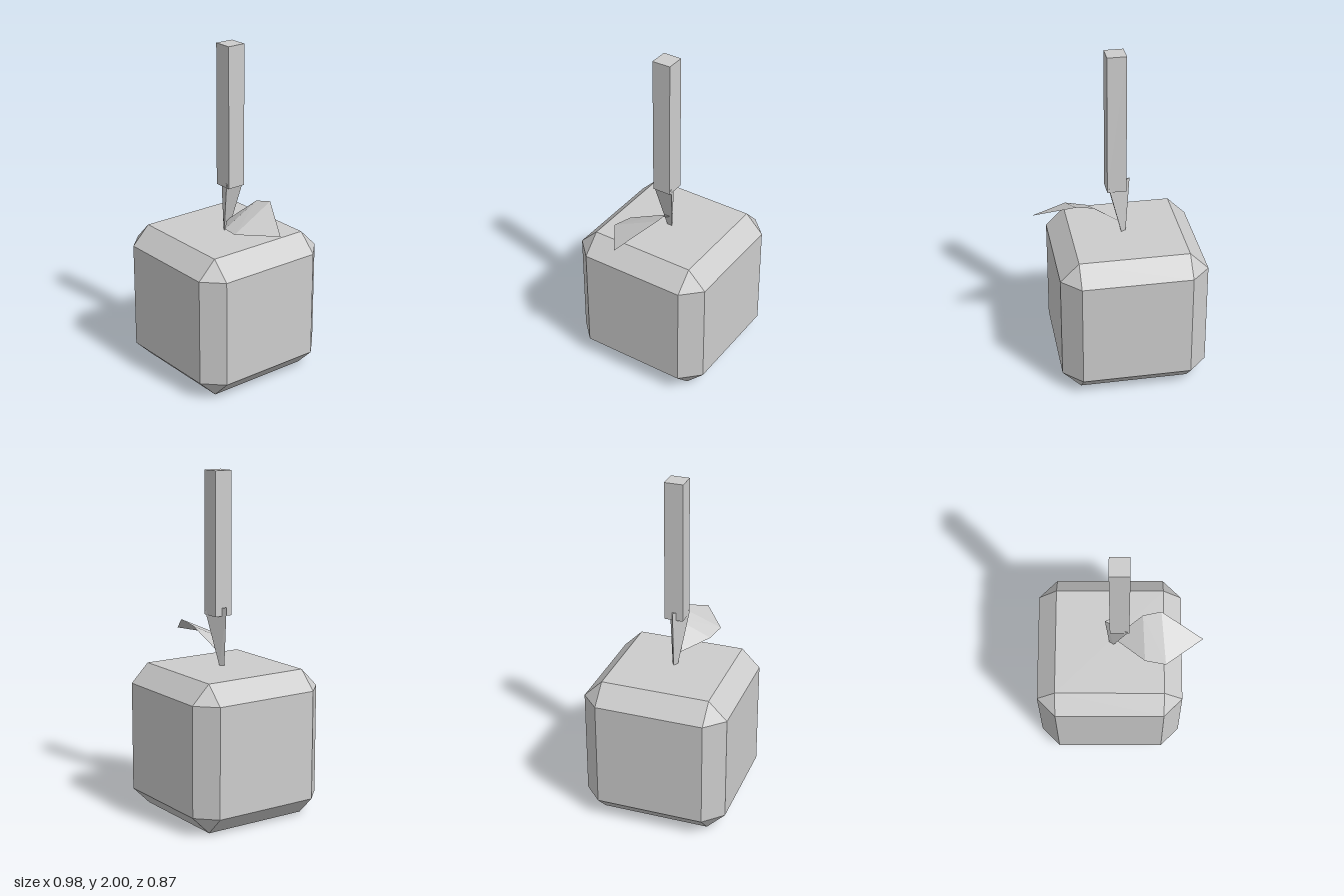
import * as THREE from 'three';
import { ConvexGeometry } from 'three/addons/geometries/ConvexGeometry.js';

const v = (x, y, z) => new THREE.Vector3(x, y, z);

export function createModel() {
  const model = new THREE.Group();
  const grey = new THREE.MeshStandardMaterial({ color: 0xcccccc, side: THREE.DoubleSide });
  grey.name = 'paleGrey';

  const add = (name, geometry) => {
    const mesh = new THREE.Mesh(geometry, grey);
    mesh.name = name;
    model.add(mesh);
    return mesh;
  };

  // Body: a cube with every edge bevelled and every corner cut to a triangle
  const outer = 0.433, inner = 0.323;
  const corners = [];
  for (const sx of [-1, 1]) for (const sy of [-1, 1]) for (const sz of [-1, 1]) {
    corners.push(
      v(sx * outer, sy * inner, sz * inner),
      v(sx * inner, sy * outer, sz * inner),
      v(sx * inner, sy * inner, sz * outer)
    );
  }
  add('body', new ConvexGeometry(corners)).position.set(-0.06, outer, -0.002);

  // Lower stem: three-sided taper leaning into the upper stem
  add('lowerStem', new ConvexGeometry([
    v(-0.063, 0.86, 0), v(-0.036, 0.86, 0.016), v(-0.036, 0.86, -0.016),
    v(-0.085, 1.215, 0), v(0.045, 1.185, 0.062), v(0.045, 1.185, -0.062)
  ]));

  // Upper stem: square post
  add('upperStem', new THREE.BoxGeometry(0.112, 0.84, 0.112)).position.set(-0.001, 1.58, -0.002);

  // Leaf: arched sheet built from back and front edge points, ending in a tip
  const rows = [
    [[-0.02, 0.94, -0.012], [-0.02, 0.926, 0.012]],
    [[0.135, 1.08, -0.086], [0.148, 0.968, 0.155]],
    [[0.242, 1.105, -0.1], [0.27, 0.98, 0.182]]
  ];
  const tip = [0.488, 1.0, 0.03];
  const points = [];
  for (let i = 0; i < rows.length - 1; i++) {
    const [a, b] = rows[i], [c, d] = rows[i + 1];
    points.push(...a, ...b, ...d, ...a, ...d, ...c);
  }
  points.push(...rows[2][0], ...rows[2][1], ...tip);
  const leaf = new THREE.BufferGeometry();
  leaf.setAttribute('position', new THREE.Float32BufferAttribute(points, 3));
  leaf.computeVertexNormals();
  add('leaf', leaf);

  return model;
}
